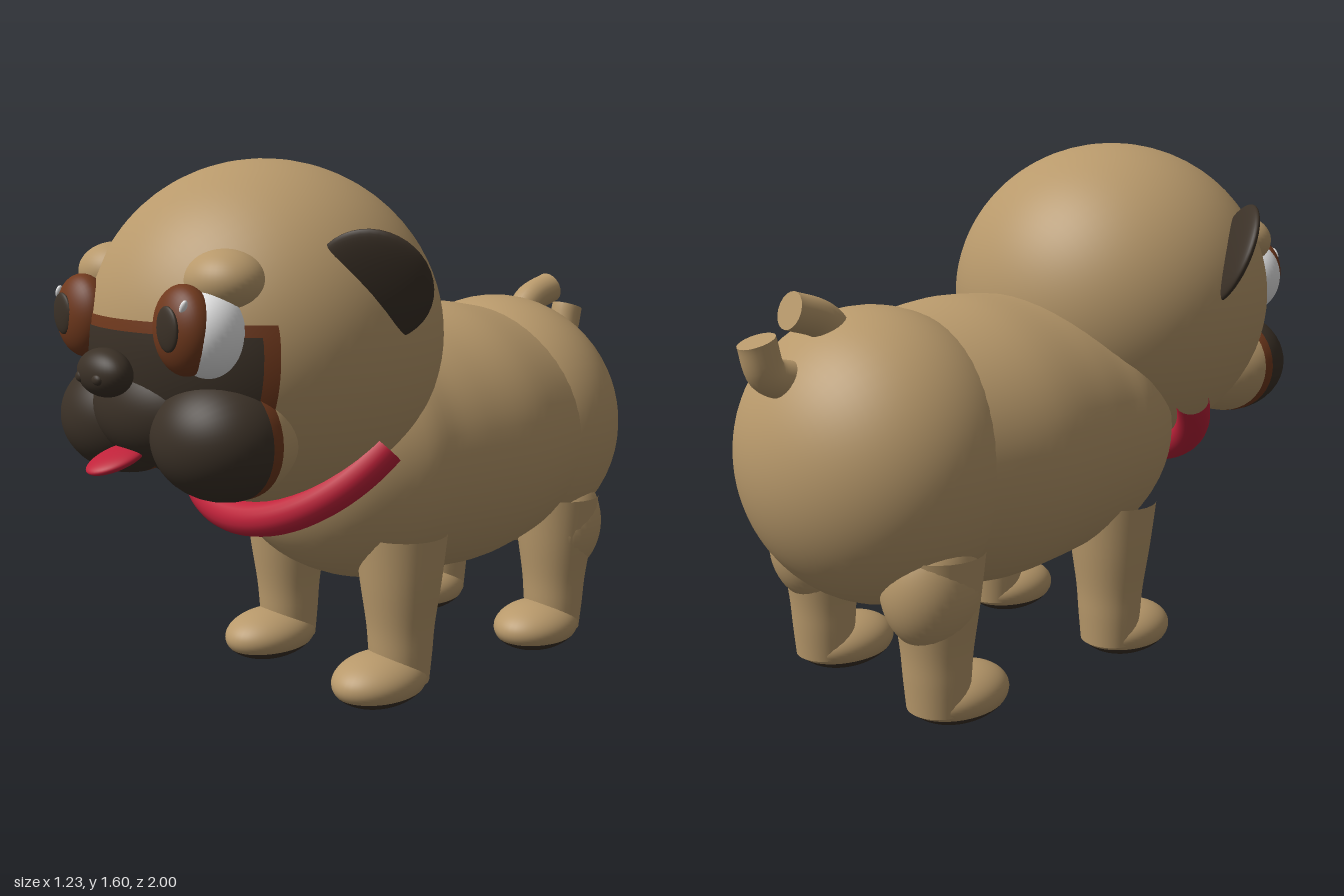
import * as THREE from 'three';

const mat = (name, color, side = THREE.FrontSide) => {
  const m = new THREE.MeshStandardMaterial({ color, side });
  m.name = name;
  return m;
};

export function createModel() {
  const root = new THREE.Group();
  root.name = 'puppy';
  const tan = mat('tan fur', 0xb8996b);
  const dark = mat('dark fur', 0x3b3127);
  const brown = mat('brown', 0x70391d);
  const red = mat('red', 0xc0223a);
  const white = mat('eye white', 0xf2f2f2);

  const add = (name, geo, material) => {
    const m = new THREE.Mesh(geo, material);
    m.name = name;
    root.add(m);
    return m;
  };
  // Ellipsoid, or a band of one between two polar angles
  const blob = (name, material, [x, y, z], [rx, ry, rz], t0 = 0, t1 = Math.PI, poleZ = false, seg = 40) => {
    const g = new THREE.SphereGeometry(1, seg, Math.round(seg * 0.7), 0, Math.PI * 2, t0, t1 - t0);
    if (poleZ) g.rotateX(Math.PI / 2);
    g.scale(rx, ry, rz);
    const m = add(name, g, material);
    m.position.set(x, y, z);
    return m;
  };

  // Body: barrel turned around the z axis, plus the rump
  const barrel = new THREE.SplineCurve([
    [0.3, -0.75], [0.40, -0.6], [0.44, -0.47], [0.475, -0.27], [0.465, -0.08], [0.45, 0.05],
    [0.435, 0.17], [0.36, 0.31], [0.25, 0.4], [0.1, 0.455], [0, 0.46],
  ].map(([r, z]) => new THREE.Vector2(r, z))).getPoints(48);
  barrel[barrel.length - 1].x = 0;
  const barrelGeo = new THREE.LatheGeometry(barrel, 56);
  barrelGeo.rotateX(Math.PI / 2);
  barrelGeo.scale(1, 0.905, 1);
  add('body', barrelGeo, tan).position.y = 0.73;
  blob('rump', tan, [0, 0.735, -0.57], [0.44, 0.425, 0.38], 0, Math.PI, true, 56);

  // Head
  const headAt = [0, 1.11, 0.41];
  const headR = [0.52, 0.49, 0.5];
  blob('head', tan, headAt, headR, 0, Math.PI, true, 64);

  // Face mask: front cap of the head cut off level below the eyes
  const maskCap = (name, material, zCut, yCut, grow) => {
    const cap = blob(name, material, headAt, headR.map(r => r * grow), 0,
      Math.acos((zCut - headAt[2]) / headR[2]), true, 96);
    const p = cap.geometry.attributes.position;
    const [a, b, c] = headR.map(r => r * grow);
    for (let i = 0; i < p.count; i++) {
      const x = p.getX(i), y = Math.min(p.getY(i), yCut - headAt[1]);
      p.setXYZ(i, x, y, c * Math.sqrt(Math.max(0, 1 - (x / a) ** 2 - (y / b) ** 2)));
    }
    cap.geometry.computeVertexNormals();
  };
  maskCap('maskBorder', brown, 0.692, 1.185, 1.004);
  maskCap('mask', dark, 0.725, 1.155, 1.008);

  // Muzzle: soft lumps, dark in front and tan behind the mask border
  const muzzle = (name, at, r) => {
    const front = Math.acos((0.725 - at[2]) / r[2]);
    const back = Math.acos((0.692 - at[2]) / r[2]);
    blob(name, dark, at, r, 0, front, true);
    blob(name + 'Border', brown, at, r, front, back, true);
    blob(name + 'Back', tan, at, r, back, Math.PI, true);
  };
  muzzle('muzzle', [0, 0.94, 0.75], [0.24, 0.17, 0.185]);
  for (const s of [-1, 1]) muzzle('jowl', [s * 0.235, 0.88, 0.73], [0.205, 0.17, 0.19]);

  // Nose and tongue
  blob('nose', dark, [0, 1.045, 0.94], [0.102, 0.065, 0.06]);
  blob('tongue', red, [0, 0.812, 0.915], [0.07, 0.022, 0.09]).rotation.x = 0.33;

  for (const s of [-1, 1]) {
    blob('nostril', dark, [s * 0.042, 1.035, 0.988], [0.02, 0.015, 0.012], 0, Math.PI, false, 16);

    // Eyes and brows
    blob('eyeball', white, [s * 0.28, 1.16, 0.8], [0.1, 0.115, 0.1]);
    blob('iris', brown, [s * 0.25, 1.17, 0.855], [0.106, 0.116, 0.066], 0, Math.PI, true);
    blob('pupil', dark, [s * 0.262, 1.178, 0.914], [0.046, 0.058, 0.012], 0, Math.PI, true, 24);
    const glint = blob('eyeGlint', white, [s * 0.31, 1.235, 0.897], [0.009, 0.02, 0.009], 0, Math.PI, false, 16);
    glint.rotation.z = -0.6;
    blob('brow', tan, [s * 0.265, 1.285, 0.735], [0.12, 0.085, 0.105]);

    // Ears: thin tilted discs
    const ear = blob('ear', dark, [s * 0.478, 1.27, 0.43], [0.16, 0.16, 0.03], 0, Math.PI, true);
    ear.quaternion.setFromUnitVectors(new THREE.Vector3(0, 0, 1),
      new THREE.Vector3(s * 0.55, -0.37, 0.75).normalize());

    // Legs, paws and dark soles
    for (const [part, z] of [['front', 0.13], ['hind', -0.58]]) {
      const outline = new THREE.SplineCurve([
        [0.135, 0.52], [0.118, 0.37], [0.1, 0.24], [0.093, 0.15], [0.085, 0.06],
      ].reverse().map(([r, y]) => new THREE.Vector2(r, y))).getPoints(20);
      const leg = add(part + 'Leg', new THREE.LatheGeometry(outline, 28), tan);
      leg.position.set(s * 0.27, 0, z);
      leg.scale.x = 1.08;
      const at = [s * 0.267, 0.08, z + 0.08], r = [0.124, 0.08, 0.16];
      blob(part + 'Paw', tan, at, r, 0, 2.0);
      blob(part + 'Sole', dark, at, r, 2.0, Math.PI);
    }
    blob('thigh', tan, [s * 0.27, 0.42, -0.6], [0.14, 0.18, 0.14]);
  }

  // Collar: the lower arc of a tilted ring
  const arc = 2.55;
  const ring = new THREE.TorusGeometry(0.44, 0.052, 20, 64, arc);
  ring.rotateZ(-Math.PI / 2 - arc / 2);
  const collar = add('collar', ring, red);
  collar.position.set(0, 0.92, 0.245);
  collar.rotation.x = -0.71;

  // Curled tail: two stubs of the curl with flat ends
  for (const pts of [
    [[1.06, -0.67], [1.135, -0.74], [1.17, -0.84]],
    [[0.98, -0.83], [1.01, -0.915], [1.1, -0.945]],
  ]) {
    const curve = new THREE.CatmullRomCurve3(pts.map(([y, z]) => new THREE.Vector3(0, y, z)));
    add('tail', new THREE.TubeGeometry(curve, 16, 0.053, 20), tan);
    const end = add('tailEnd', new THREE.CircleGeometry(0.053, 20), tan);
    end.position.copy(curve.getPoint(1));
    end.quaternion.setFromUnitVectors(new THREE.Vector3(0, 0, 1), curve.getTangent(1));
  }
  return root;
}
